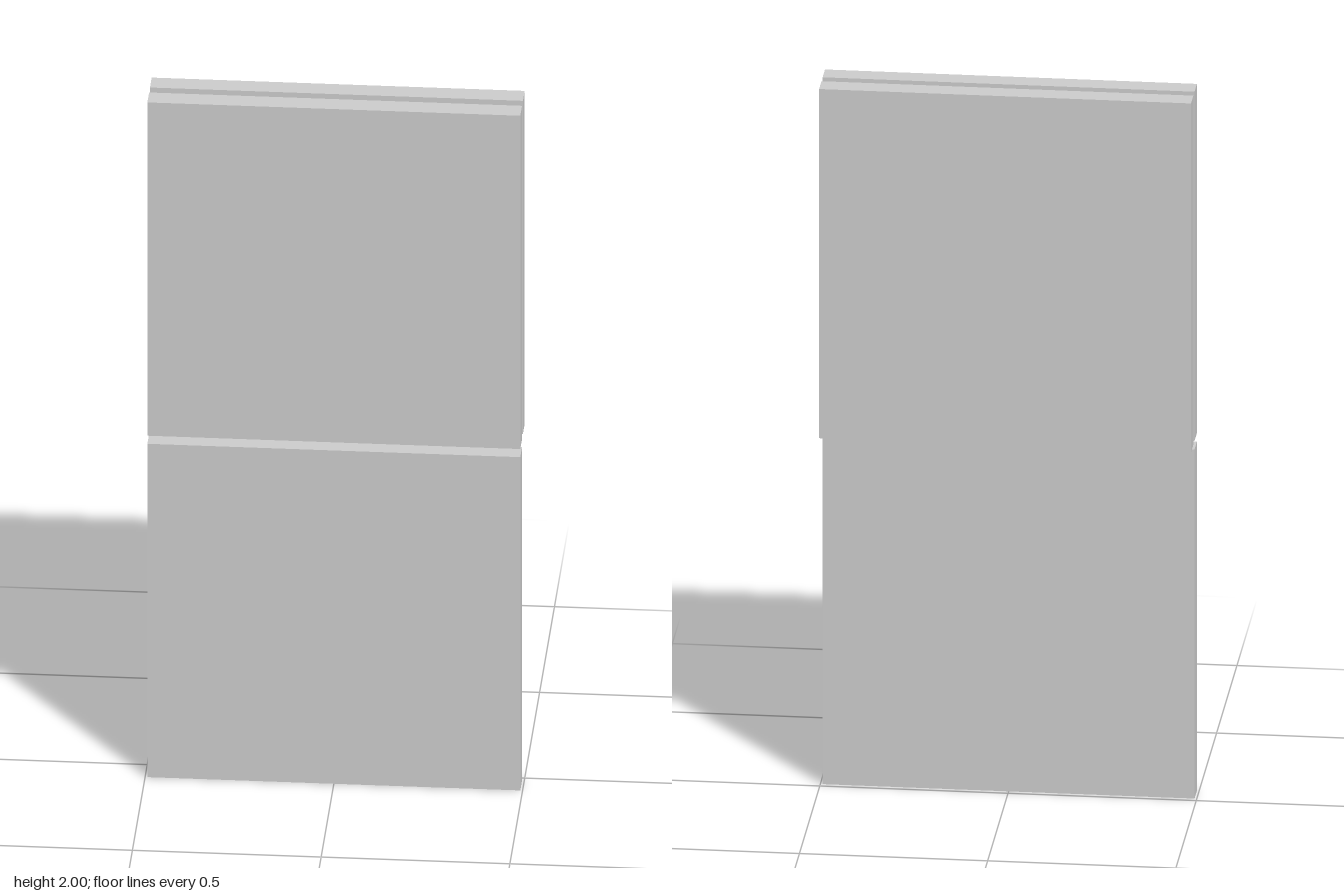
import * as THREE from 'three';

const SIZE = 0.988;      // square panel edge
const THICKNESS = 0.058;
const OFFSET = 0.0435;   // panel centre to the mid plane

export function createModel() {
  const model = new THREE.Group();
  const material = new THREE.MeshStandardMaterial({ color: 0xcccccc });
  const geometry = new THREE.BoxGeometry(SIZE, SIZE, THICKNESS);

  const addPanel = (name, y, z) => {
    const panel = new THREE.Mesh(geometry, material);
    panel.name = name;
    panel.position.set(0, y, z);
    model.add(panel);
  };

  // Two panels stacked at the front, one behind the upper panel
  addPanel('lowerFrontPanel', SIZE / 2, OFFSET);
  addPanel('upperFrontPanel', 2 - SIZE / 2, OFFSET);
  addPanel('upperBackPanel', 2 - SIZE / 2, -OFFSET);

  return model;
}
